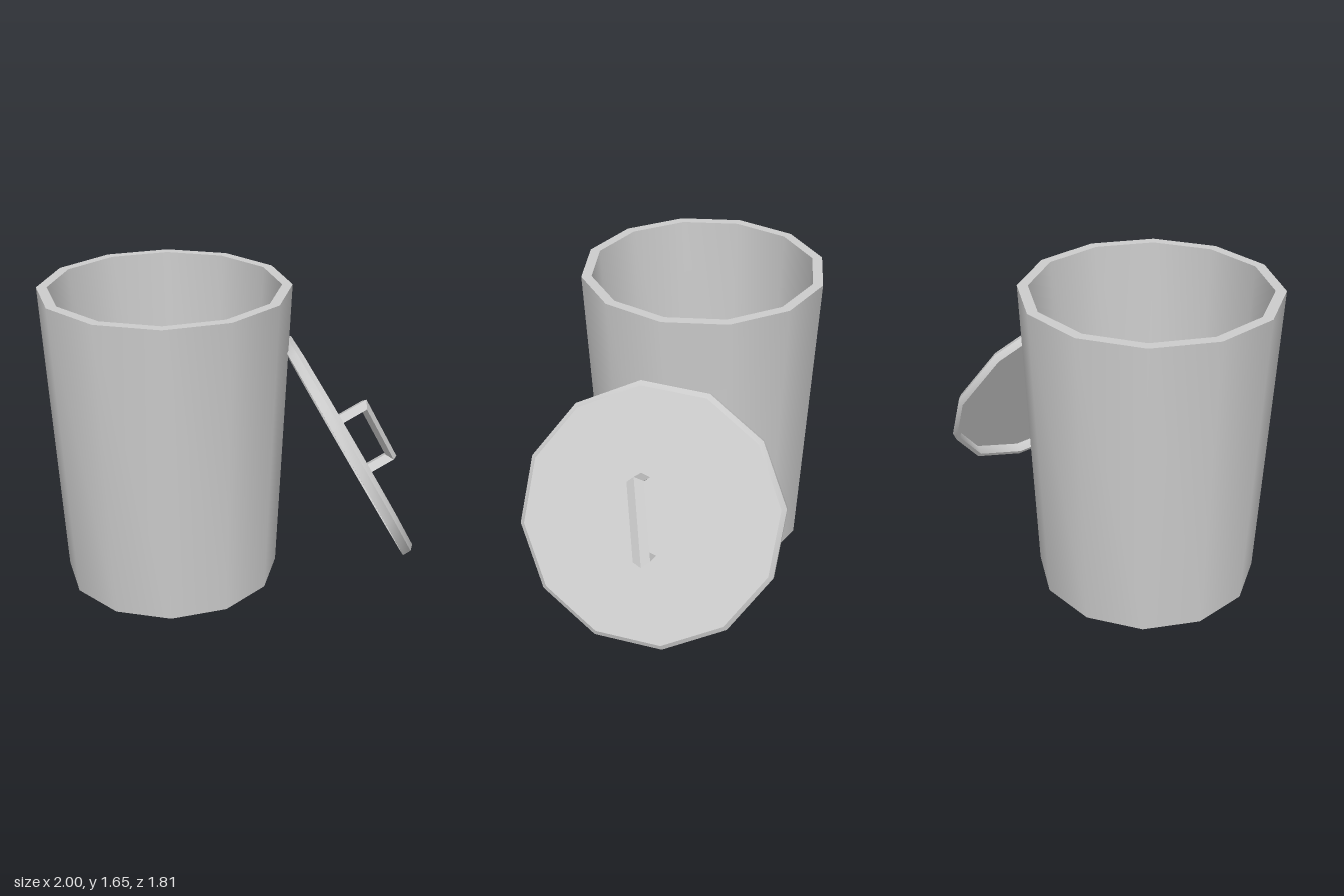
import * as THREE from 'three';
import { toCreasedNormals } from 'three/addons/utils/BufferGeometryUtils.js';

const SIDES = 12;

function material(extra = {}) {
  return new THREE.MeshStandardMaterial({ color: 0xcccccc, ...extra });
}

// Twelve-sided turned part: smooth around, sharp at the rims
function turned(name, profile) {
  const points = profile.map(([r, y]) => new THREE.Vector2(r, y));
  const geometry = toCreasedNormals(new THREE.LatheGeometry(points, SIDES), 0.6);
  const mesh = new THREE.Mesh(geometry, material());
  mesh.name = name;
  return mesh;
}

// Bent bar with a flat diamond section, mitred at its two corners
function handleGeometry(halfLength, base, top, depth, halfWidth) {
  const path = [
    [halfLength, base, 1, 0],
    [halfLength, top, 1, 1],
    [-halfLength, top, -1, 1],
    [-halfLength, base, -1, 0],
  ];
  const section = [[1, 0], [0, 1], [-1, 0], [0, -1]];
  const positions = [];
  const index = [];
  for (const [z, y, dz, dy] of path) {
    for (const [d, w] of section) {
      positions.push(w * halfWidth, y + d * depth * dy, z + d * depth * dz);
    }
  }
  for (let i = 0; i < 3; i++) {
    for (let j = 0; j < 4; j++) {
      const a = i * 4 + j;
      const b = i * 4 + (j + 1) % 4;
      index.push(a, b, b + 4, a, b + 4, a + 4);
    }
  }
  // end caps
  index.push(0, 2, 1, 0, 3, 2, 12, 13, 14, 12, 14, 15);
  const geometry = new THREE.BufferGeometry();
  geometry.setAttribute('position', new THREE.Float32BufferAttribute(positions, 3));
  geometry.setIndex(index);
  geometry.computeVertexNormals();
  return geometry;
}

export function createModel() {
  const model = new THREE.Group();
  model.name = 'binWithLid';

  // Tapered open bin with a thick wall; its corners lie on the x axis
  const bin = turned('bin', [
    [0, 0], [0.59, 0], [0.663, 1.655], [0.608, 1.655], [0.542, 0.06], [0, 0.06],
  ]);
  bin.position.set(-0.337, 0, 0.235);
  bin.rotation.y = Math.PI / 2;
  model.add(bin);

  // Lid leaning on the bin: hollow underneath, chamfered on top
  const lid = new THREE.Group();
  lid.name = 'lid';
  lid.add(turned('lidPlate', [
    [0, 0.055], [0.675, 0.055], [0.682, 0], [0.706, 0], [0.706, 0.045], [0.68, 0.07], [0, 0.07],
  ]));

  // Handle, its legs just piercing the plate
  const handle = new THREE.Mesh(
    handleGeometry(0.205, 0.05, 0.225, 0.026, 0.045),
    material({ flatShading: true, side: THREE.DoubleSide })
  );
  handle.name = 'handle';
  handle.position.x = 0.03;
  lid.add(handle);

  // Lid axes: y along its outward normal, z along the handle
  const up = new THREE.Vector3(0.69, 0.476, -0.545).normalize();
  const along = new THREE.Vector3(-0.27, 0.865, 0.43);
  along.addScaledVector(up, -along.dot(up)).normalize();
  const across = new THREE.Vector3().crossVectors(up, along);
  lid.quaternion.setFromRotationMatrix(new THREE.Matrix4().makeBasis(across, up, along));
  lid.position.set(0.4775, 0.6875, -0.303).addScaledVector(up, -0.0225);
  model.add(lid);

  return model;
}
